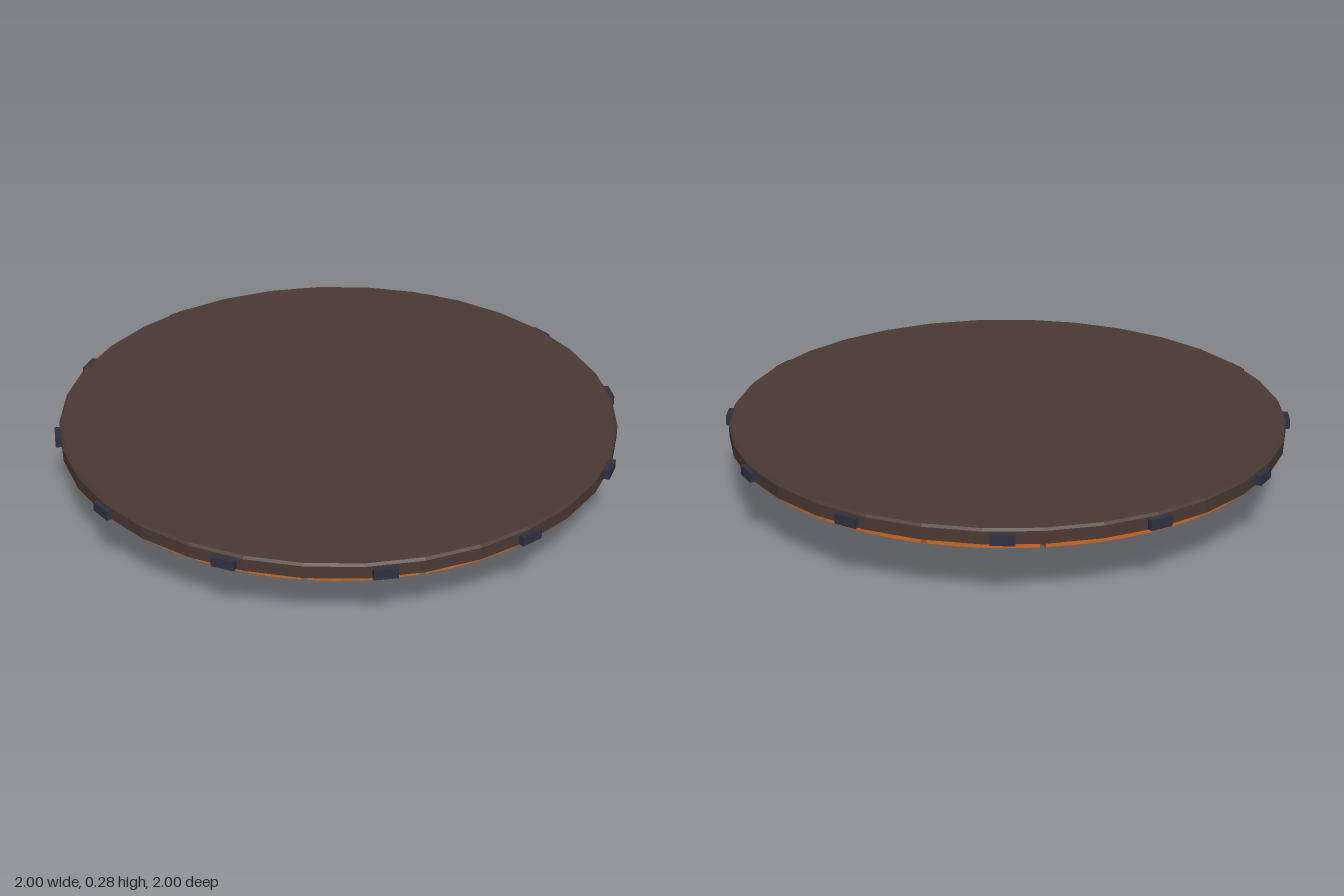
import * as THREE from 'three';

const GAP = 0.019, THICK = 0.011, BOWL_R = 2.4;

// Height of the bowl's outer surface at radius r
const bowlY = (r) => BOWL_R - Math.sqrt(BOWL_R * BOWL_R - r * r);

function material(name, color) {
  const m = new THREE.MeshStandardMaterial({ color, flatShading: true });
  m.name = name;
  return m;
}

function lathe(points, sides = 32) {
  return new THREE.LatheGeometry(points.map(([r, y]) => new THREE.Vector2(r, y)), sides);
}

// A box bent into a curved tile: x becomes angle, z radius, y depth
function tileGeometry(r0, r1, angle, step) {
  const geo = new THREE.BoxGeometry(1, 1, 1, 4, 1, 3);
  const p = geo.attributes.position;
  for (let i = 0; i < p.count; i++) {
    const r = r0 + (p.getZ(i) + 0.5) * (r1 - r0);
    const a = angle + p.getX(i) * (step - GAP / r);
    const y = bowlY(r) + (p.getY(i) + 0.5) * THICK;
    p.setXYZ(i, r * Math.sin(a), y, r * Math.cos(a));
  }
  geo.computeVertexNormals();
  return geo;
}

export function createModel() {
  const model = new THREE.Group();
  model.name = 'heatShield';

  const brown = material('dark brown', 0x4b3932);
  const seam = material('seam brown', 0x3b2c26);
  const orange = material('burnt orange', 0xd2691e);
  const slate = material('dark slate', 0x2e3142);

  const add = (name, geo, mat, parent = model) => {
    const mesh = new THREE.Mesh(geo, mat);
    mesh.name = name;
    parent.add(mesh);
    return mesh;
  };

  // Backing bowl seen in the gaps between tiles
  const backing = [];
  for (let i = 0; i <= 12; i++) {
    const r = (i / 12) * 0.95;
    backing.push([r, bowlY(r) + 0.007]);
  }
  add('backingBowl', lathe(backing), seam);

  // Rim and flat back plate, sloping in to the tiles underneath
  add('rimPlate', lathe([
    [0.945, 0.208], [0.984, 0.224], [0.984, 0.268], [0.976, 0.276], [0, 0.276],
  ]), brown);

  // Central tile
  add('centreTile', lathe([
    [0, bowlY(0)], [0.095, bowlY(0.095)], [0.187, bowlY(0.187)],
    [0.187, bowlY(0.187) + THICK], [0, bowlY(0) + THICK],
  ]), orange);

  // Three rings of curved tiles; the middle ring is staggered by half a tile
  const rings = [[0.206, 0.407, 8, 0.5], [0.426, 0.681, 12, 0], [0.70, 0.957, 16, 0.5]];
  rings.forEach(([r0, r1, count, offset], k) => {
    const ring = new THREE.Group();
    ring.name = 'tileRing' + (k + 1);
    const step = (Math.PI * 2) / count;
    for (let i = 0; i < count; i++) {
      add('tile', tileGeometry(r0, r1, (i + offset) * step, step), orange, ring);
    }
    model.add(ring);
  });

  // Twelve clips around the rim
  const clipGeo = new THREE.BoxGeometry(0.08, 0.035, 0.024);
  for (let i = 0; i < 12; i++) {
    const a = (i / 12) * Math.PI * 2;
    const clip = add('rimClip', clipGeo, slate);
    clip.position.set(Math.sin(a) * 0.988, 0.2445, Math.cos(a) * 0.988);
    clip.rotation.y = a;
  }

  return model;
}
